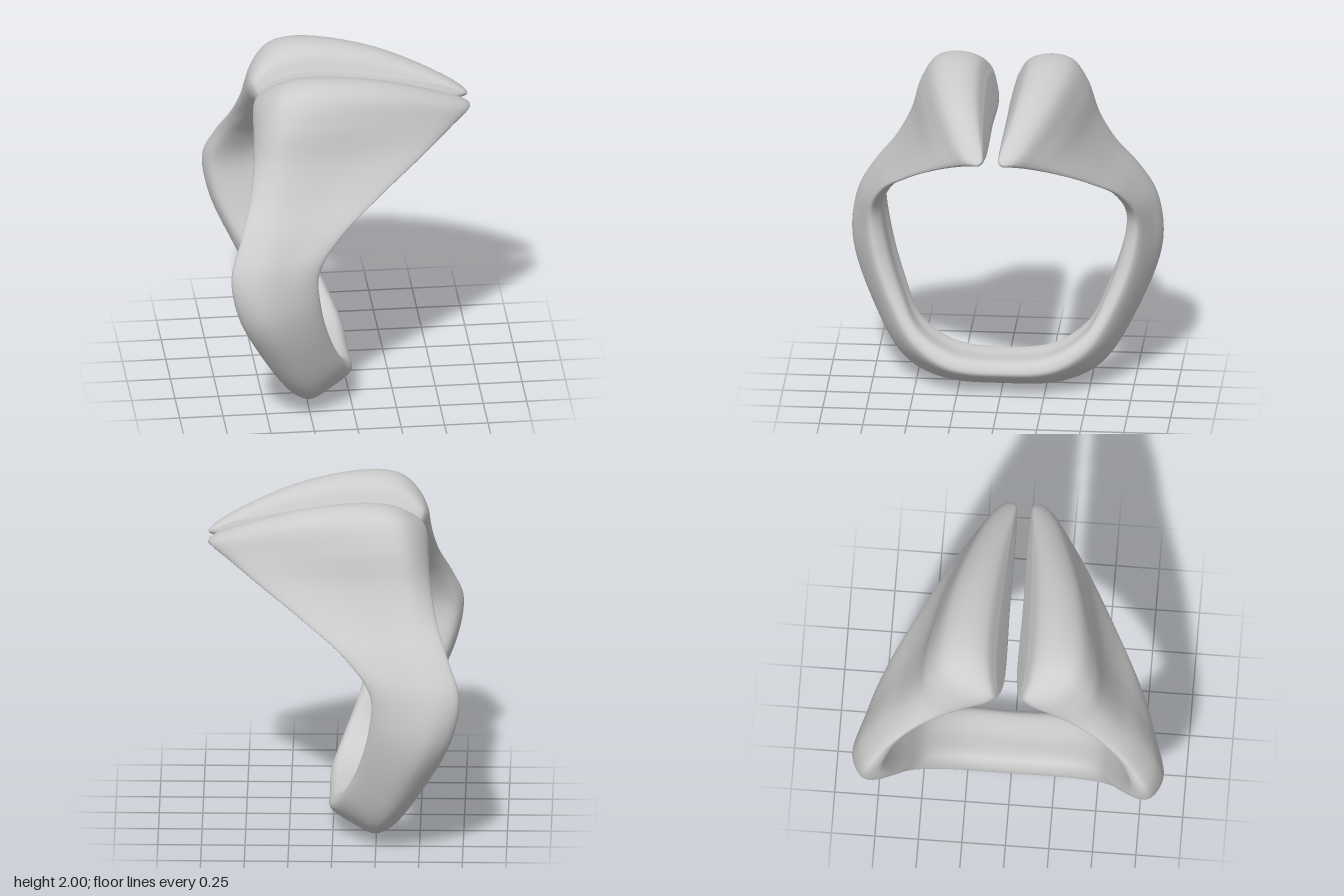
import * as THREE from 'three';

const AROUND = 64, ALONG = 220;

// Cross-sections of one half, from the bottom of the band to the flared head:
// inner z, inner y, outer z, outer y, left x, right x, ridge x,
// then how far out the right rim, right slope and left rim lie (0 inner, 1 outer)
const bandSections = [
  [0, 0.20, 0, 0.003, -0.33, 0.02, -0.24, 0.3, 0.75, 0.7],
  [0.28, 0.23, 0.35, 0.028, -0.34, 0.015, -0.24, 0.3, 0.75, 0.7],
  [0.48, 0.35, 0.57, 0.135, -0.40, -0.05, -0.28, 0.28, 0.78, 0.68],
  [0.59, 0.54, 0.77, 0.44, -0.55, -0.14, -0.42, 0.28, 0.8, 0.65],
  [0.68, 0.80, 0.89, 0.77, -0.69, -0.21, -0.56, 0.3, 0.8, 0.62],
  [0.71, 1.03, 0.865, 1.03, -0.73, -0.22, -0.59, 0.36, 0.8, 0.62],
];
const headSections = [
  [0.64, 1.22, 0.77, 1.22, -0.67, -0.08, -0.53, 0.38, 0.75, 0.6],
  [0.50, 1.39, 0.63, 1.42, -0.60, 0.17, -0.48, 0.26, 0.75, 0.5],
  [0.33, 1.535, 0.53, 1.61, -0.565, 0.42, -0.45, 0.18, 0.78, 0.4],
  [0.18, 1.625, 0.465, 1.81, -0.55, 0.60, -0.42, 0.14, 0.82, 0.34],
  [0.09, 1.665, 0.375, 1.95, -0.545, 0.70, -0.39, 0.13, 0.87, 0.34],
  [0.055, 1.68, 0.25, 1.988, -0.535, 0.72, -0.35, 0.1, 0.88, 0.42],
  [0.038, 1.70, 0.145, 1.96, -0.51, 0.70, -0.32, 0.1, 0.85, 0.5],
  [0.040, 1.73, 0.085, 1.87, -0.45, 0.62, -0.28, 0.2, 0.8, 0.55],
];

// Smooth closed loop for one section; side is +1 for front, -1 for back
function sectionLoop([zi, yi, zo, yo, xl, xr, ridge, tRight, tSlope, tLeft], side) {
  const w = xr - xl;
  const at = (x, t) => new THREE.Vector3(x, yi + (yo - yi) * t, side * (zi + (zo - zi) * t));
  const curve = new THREE.CatmullRomCurve3([
    at(xl + 0.08 * w, 0.04), at(xl + 0.5 * w, 0), at(xr - 0.1 * w, 0),
    at(xr, tRight), at((ridge + xr) / 2, tSlope), at(ridge, 1), at(xl, tLeft),
  ], true, 'centripetal');
  return Array.from({ length: AROUND }, (_, j) => curve.getPoint(j / AROUND));
}

function ringGeometry() {
  const half = [...bandSections, ...headSections];
  const loops = [
    ...half.slice(1).reverse().map(s => sectionLoop(s, -1)),
    ...half.map(s => sectionLoop(s, 1)),
  ];
  // Lengthwise curves through matching points of all the loops
  const rails = Array.from({ length: AROUND }, (_, j) =>
    new THREE.CatmullRomCurve3(loops.map(l => l[j]), false, 'centripetal'));
  const pos = [], index = [];
  for (let i = 0; i <= ALONG; i++) {
    for (const rail of rails) pos.push(...rail.getPoint(i / ALONG).toArray());
  }
  for (let i = 0; i < ALONG; i++) {
    for (let j = 0; j < AROUND; j++) {
      const a = i * AROUND + j, b = i * AROUND + (j + 1) % AROUND;
      index.push(a, a + AROUND, b, b, a + AROUND, b + AROUND);
    }
  }
  // Close the two facing ends
  for (const end of [0, ALONG]) {
    const centre = new THREE.Vector3();
    for (const rail of rails) centre.addScaledVector(rail.getPoint(end / ALONG), 1 / AROUND);
    const c = pos.length / 3;
    pos.push(...centre.toArray());
    for (let j = 0; j < AROUND; j++) {
      const a = end * AROUND + j, b = end * AROUND + (j + 1) % AROUND;
      if (end === 0) index.push(c, a, b);
      else index.push(c, b, a);
    }
  }
  const geo = new THREE.BufferGeometry();
  geo.setAttribute('position', new THREE.Float32BufferAttribute(pos, 3));
  geo.setIndex(index);
  geo.computeVertexNormals();
  return geo;
}

export function createModel() {
  const group = new THREE.Group();
  group.name = 'openRing';
  const metal = new THREE.MeshStandardMaterial({ color: 0xcccccc });
  metal.name = 'pale grey metal';
  const ring = new THREE.Mesh(ringGeometry(), metal);
  ring.name = 'ringBand';
  group.add(ring);
  return group;
}
